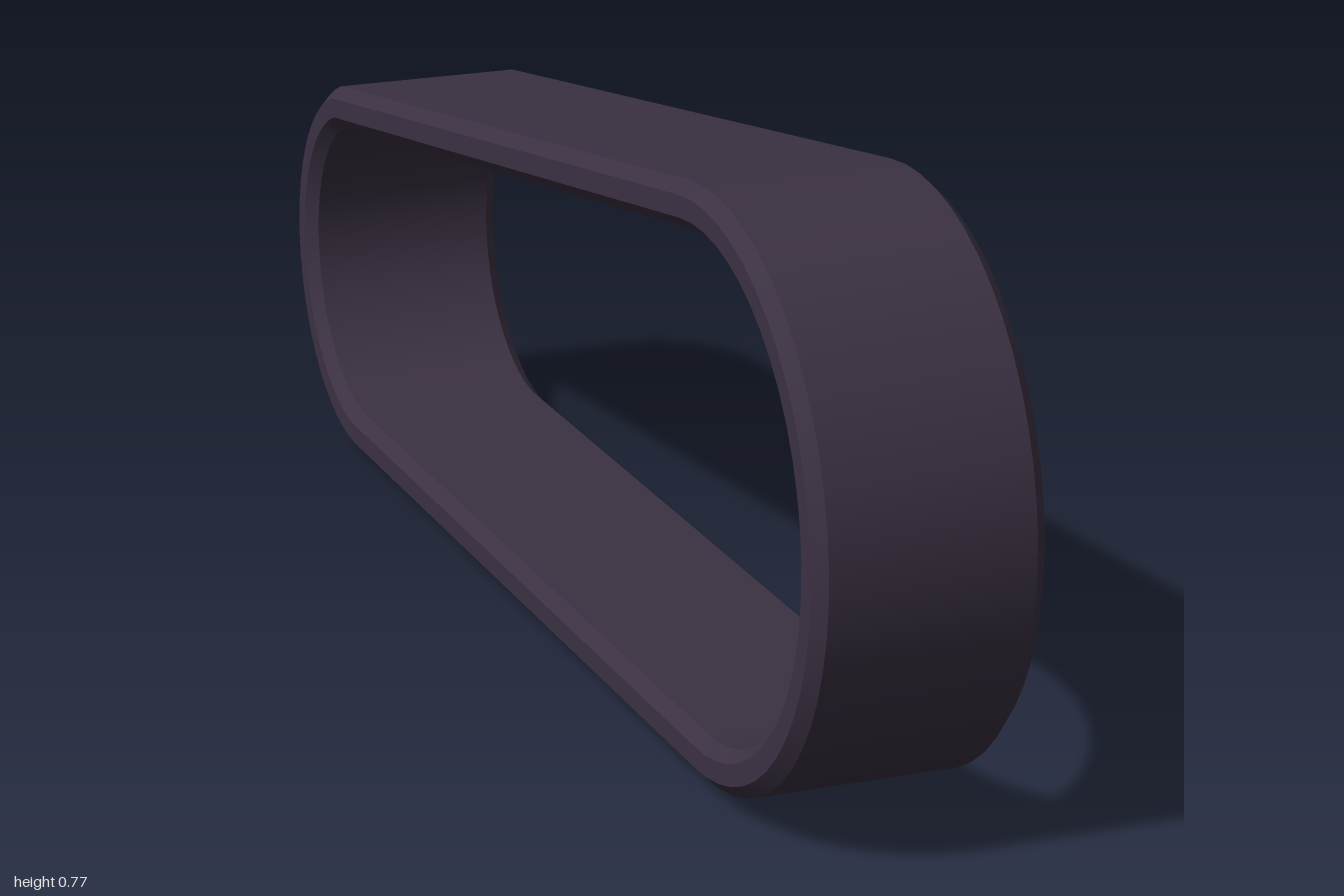
import * as THREE from 'three';

const HALF_WIDTH = 0.148, THICKNESS = 0.06, CHAMFER = 0.016;

// Outer path of the belt: an arc round each wheel, joined by straight runs
function beltPath() {
  const path = [];
  const arc = (z, y, r, from, to, steps) => {
    for (let i = 0; i <= steps; i++) {
      const a = THREE.MathUtils.degToRad(from + (to - from) * i / steps);
      const nz = Math.cos(a), ny = Math.sin(a);
      path.push({ z: z + r * nz, y: y + r * ny, nz, ny });
    }
  };
  arc(0.622, 0.397, 0.378, 99.5, -90.6, 28);
  arc(-0.725, 0.277, 0.275, -90.6, -250.5, 24);
  return path;
}

// Chamfered cross-section as [across, inward depth]
function beltSection() {
  const w = HALF_WIDTH, c = CHAMFER, t = THICKNESS;
  return [
    [-w + c, 0], [w - c, 0], [w, c], [w, t - c],
    [w - c, t], [-w + c, t], [-w, t - c], [-w, c],
  ];
}

// One closed strip per section edge: smooth along the belt, sharp across it
function sweepStrip(path, a, b) {
  const positions = [], index = [], n = path.length;
  path.forEach((p, i) => {
    for (const [x, d] of [a, b]) positions.push(x, p.y - p.ny * d, p.z - p.nz * d);
    const k = 2 * i, m = 2 * ((i + 1) % n);
    index.push(k, m, k + 1, m, m + 1, k + 1);
  });
  const geometry = new THREE.BufferGeometry();
  geometry.setAttribute('position', new THREE.Float32BufferAttribute(positions, 3));
  geometry.setIndex(index);
  geometry.computeVertexNormals();
  return geometry;
}

export function createModel() {
  const rubber = new THREE.MeshStandardMaterial({ color: 0x3b3142 });
  rubber.name = 'dark rubber';

  const names = ['outerTread', 'leftOuterChamfer', 'leftRim', 'leftInnerChamfer',
    'innerFace', 'rightInnerChamfer', 'rightRim', 'rightOuterChamfer'];
  const path = beltPath(), section = beltSection();

  const belt = new THREE.Group();
  belt.name = 'belt';
  section.forEach((corner, j) => {
    const mesh = new THREE.Mesh(sweepStrip(path, corner, section[(j + 1) % section.length]), rubber);
    mesh.name = names[j];
    belt.add(mesh);
  });

  const model = new THREE.Group();
  model.name = 'trackBelt';
  model.add(belt);
  return model;
}
